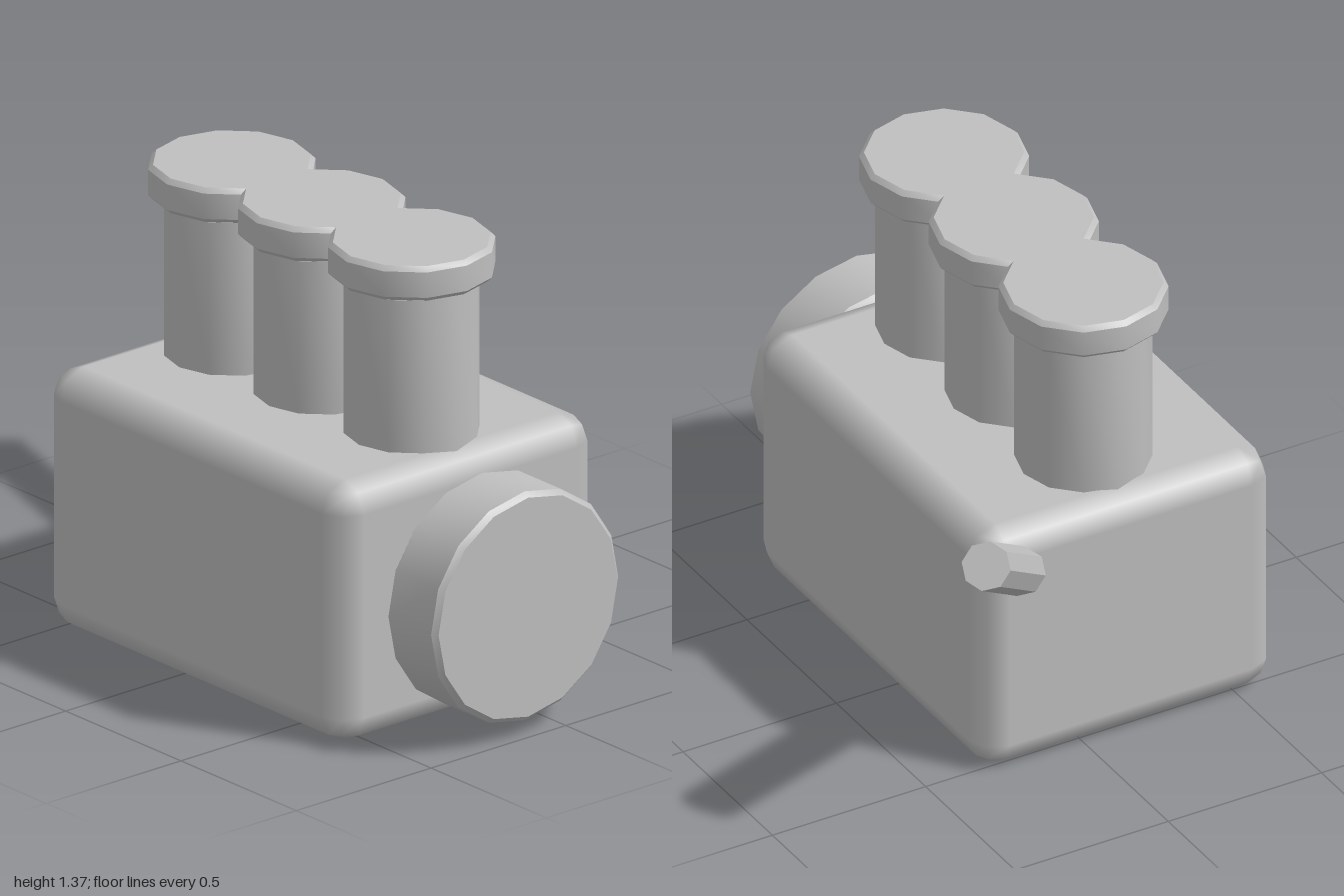
import * as THREE from 'three';
import { toCreasedNormals } from 'three/addons/utils/BufferGeometryUtils.js';
import { RoundedBoxGeometry } from 'three/addons/geometries/RoundedBoxGeometry.js';

// Solid disc or column along y, standing on y = 0, with bevelled rims
function bevelledCylinder(radius, height, bevel, sides) {
  const profile = [
    [0, 0], [radius - bevel, 0], [radius, bevel],
    [radius, height - bevel], [radius - bevel, height], [0, height],
  ].map(([x, y]) => new THREE.Vector2(x, y));
  return toCreasedNormals(new THREE.LatheGeometry(profile, sides), 0.6);
}

export function createModel() {
  const model = new THREE.Group();
  model.name = 'engine';
  const grey = new THREE.MeshStandardMaterial({ color: 0xbfbfbf });
  grey.name = 'grey metal';

  const add = (name, geometry, x, y, z) => {
    const mesh = new THREE.Mesh(geometry, grey);
    mesh.name = name;
    mesh.position.set(x, y, z);
    model.add(mesh);
    return mesh;
  };

  // Engine block
  add('block', new RoundedBoxGeometry(1.3, 0.785, 0.96, 1, 0.085), 0.1, 0.3925, 0.14);

  // Row of three stacks, each with a wider cap
  const stack = bevelledCylinder(0.195, 0.51, 0.018, 12);
  const cap = bevelledCylinder(0.24, 0.105, 0.014, 12);
  [-0.285, 0.105, 0.495].forEach((x, i) => {
    add(`stack${i + 1}`, stack, x, 0.755, 0.14);
    add(`stackCap${i + 1}`, cap, x, 1.26, 0.14);
  });

  // Flywheel on the model's left end
  const wheel = add('flywheel', bevelledCylinder(0.347, 0.215, 0.015, 16), 0.785, 0.395, 0.14);
  wheel.rotation.z = -Math.PI / 2;

  // Slanted exhaust pipe leaving the rear right corner
  const start = new THREE.Vector3(-0.543, 0.654, -0.213);
  const end = new THREE.Vector3(-0.945, 1.01, -0.562);
  const axis = end.clone().sub(start);
  const pipeGeometry = toCreasedNormals(new THREE.CylinderGeometry(0.071, 0.071, axis.length(), 8), 0.6);
  const middle = start.clone().add(end).multiplyScalar(0.5);
  const pipe = add('exhaustPipe', pipeGeometry, middle.x, middle.y, middle.z);
  pipe.quaternion.setFromUnitVectors(new THREE.Vector3(0, 1, 0), axis.normalize());

  return model;
}
